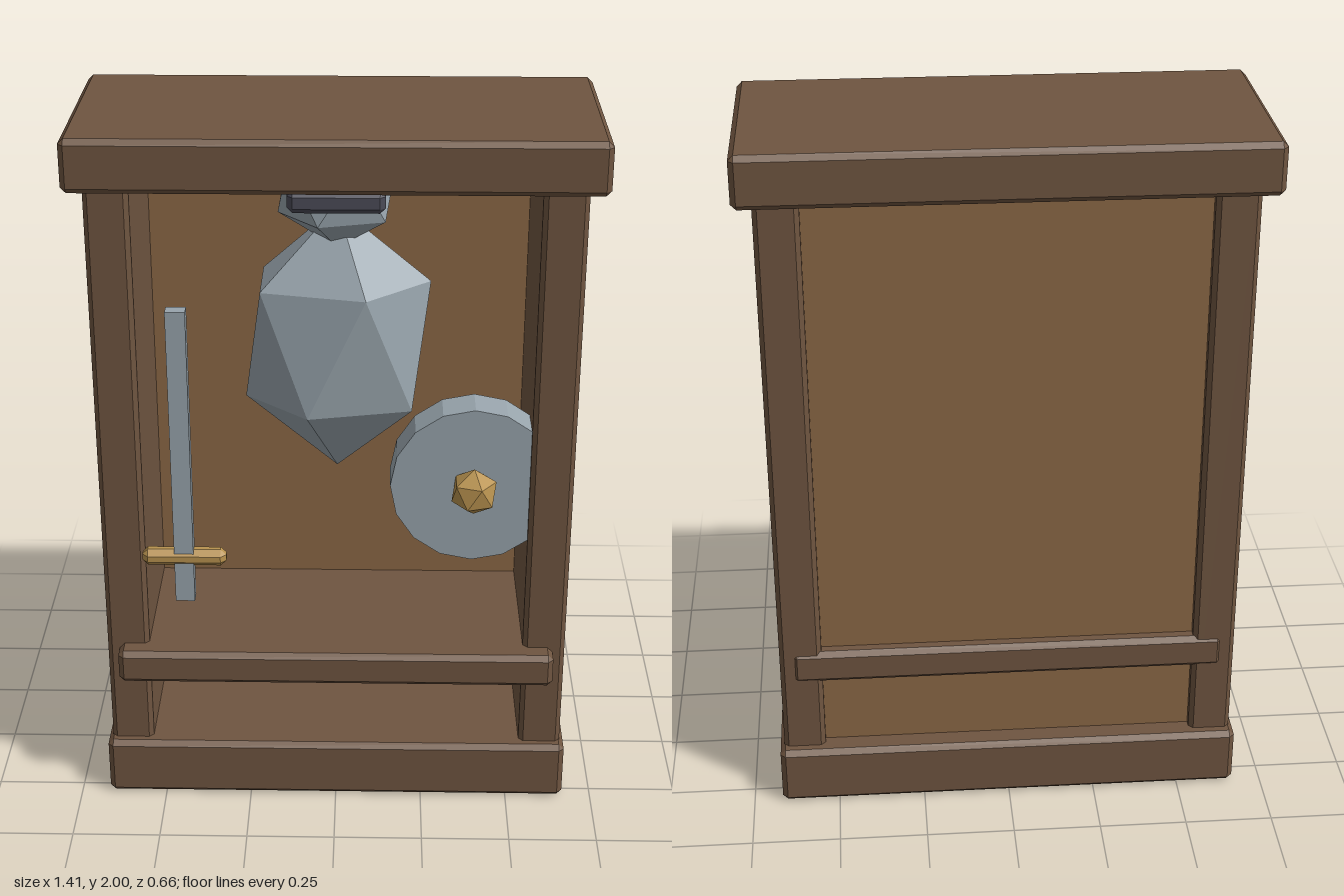
import * as THREE from 'three';
import { ConvexGeometry } from 'three/addons/geometries/ConvexGeometry.js';

const mat = (color) => new THREE.MeshStandardMaterial({ color, flatShading: true });

// Box with chamfered edges, given by its min and max on each axis
function chamferBox([x0, x1], [y0, y1], [z0, z1], b) {
  const h = [(x1 - x0) / 2, (y1 - y0) / 2, (z1 - z0) / 2];
  const points = [];
  for (const sx of [-1, 1]) for (const sy of [-1, 1]) for (const sz of [-1, 1]) {
    for (let full = 0; full < 3; full++) {
      const c = h.map((v, i) => (i === full ? v : v - b));
      points.push(new THREE.Vector3(sx * c[0], sy * c[1], sz * c[2]));
    }
  }
  return new ConvexGeometry(points).translate((x0 + x1) / 2, (y0 + y1) / 2, (z0 + z1) / 2);
}

function plainBox([x0, x1], [y0, y1], [z0, z1]) {
  return new THREE.BoxGeometry(x1 - x0, y1 - y0, z1 - z0)
    .translate((x0 + x1) / 2, (y0 + y1) / 2, (z0 + z1) / 2);
}

// Icosahedron standing on one corner, stretched to the given radii
function gem(rx, ry, rz, x, y, z) {
  const golden = (1 + Math.sqrt(5)) / 2;
  return new THREE.IcosahedronGeometry(1, 0)
    .rotateZ(-Math.atan(1 / golden))
    .scale(rx, ry, rz)
    .translate(x, y, z);
}

export function createModel() {
  const group = new THREE.Group();
  const wood = mat(0x6f5540);
  const panelWood = mat(0x8b6846);
  const steel = mat(0x98a4ac);
  const dark = mat(0x4b4b57);
  const brass = mat(0xb8924f);

  const add = (name, geometry, material) => {
    const mesh = new THREE.Mesh(geometry, material);
    mesh.name = name;
    group.add(mesh);
  };

  // Cabinet
  add('base', chamferBox([-0.667, 0.667], [0, 0.175], [-0.318, 0.292], 0.015), wood);
  add('top', chamferBox([-0.705, 0.705], [1.855, 2], [-0.33, 0.3], 0.015), wood);
  for (const side of [-1, 1]) {
    const xs = [side * 0.535, side * 0.655].sort((a, b) => a - b);
    add(side > 0 ? 'leftWall' : 'rightWall',
      chamferBox(xs, [0.13, 1.9], [-0.283, 0.26], 0.013), wood);
  }
  add('backPanel', chamferBox([-0.55, 0.55], [0.165, 1.858], [-0.25, -0.18], 0.01), panelWood);
  add('shelf', chamferBox([-0.62, 0.62], [0.395, 0.495], [-0.289, 0.318], 0.015), wood);

  // Hanging body with its head and dark band
  add('hangingBody', gem(0.288, 0.39, 0.19, 0, 1.345, 0.02), steel);
  add('hangingHead', gem(0.18, 0.18, 0.15, 0, 1.8, 0.03), steel);
  add('headBand', chamferBox([-0.13, 0.13], [1.765, 1.827], [0.13, 0.185], 0.015), dark);

  // Upright blade with crossbar
  add('blade', plainBox([-0.45, -0.396], [0.655, 1.53], [0.25, 0.29]), steel);
  add('crossbar', chamferBox([-0.54, -0.305], [0.765, 0.815], [0.248, 0.296], 0.016), brass);

  // Round shield with boss
  const disc = new THREE.CylinderGeometry(0.23, 0.23, 0.11, 16).rotateX(Math.PI / 2);
  add('shield', disc.translate(0.38, 1, 0.185), steel);
  add('shieldBoss', gem(0.068, 0.068, 0.068, 0.38, 1, 0.272), brass);

  return group;
}
